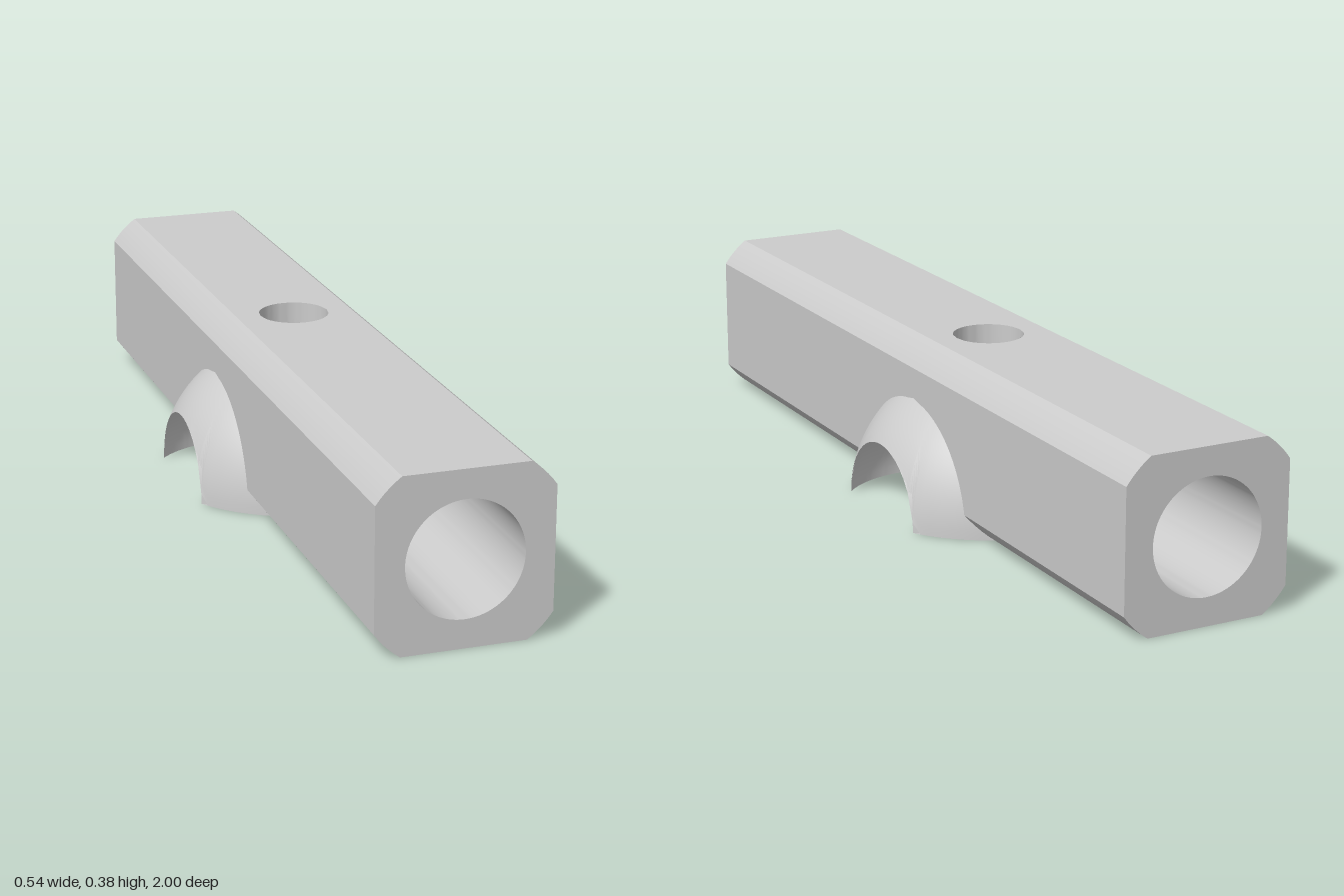
import * as THREE from 'three';
import { toCreasedNormals } from 'three/addons/utils/BufferGeometryUtils.js';

const H = 0.19;        // half width of the bar
const F = 0.135;       // half width of its flat faces
const BORE = 0.127;    // long bore radius
const PIN = 0.08;      // vertical hole radius
const R = 0.315;       // ball radius
const LIP = 0.272;     // where the ball ends sideways
const WAIST = 0.2;     // cavity radius at its middle ridge
const ZC = -0.08;      // z of the ball and vertical hole

const root = (v) => Math.sqrt(Math.max(0, v));
const ballRadius = (x) => root(R * R - x * x);
// two overlapping spherical hollows meeting in a ridge at x = 0
const cavityRadius = (x) =>
  root(WAIST ** 2 + (R * R - WAIST ** 2) * Math.abs(x) / LIP - x * x);
const pinHalf = (x) => root(PIN * PIN - x * x);

// half length removed from a lengthwise line at (x, y)
const cut = (x, y) => Math.max(root(R * R - x * x - y * y), y > 0.25 ? pinHalf(x) : 0);

// grid surface from a rule f(u, v) -> [x, y, z]
function sheet(nu, nv, f, flip = false) {
  const pos = [], idx = [];
  for (let i = 0; i <= nu; i++)
    for (let j = 0; j <= nv; j++) pos.push(...f(i / nu, j / nv));
  for (let i = 0; i < nu; i++)
    for (let j = 0; j < nv; j++) {
      const a = i * (nv + 1) + j, b = a + nv + 1;
      if (flip) idx.push(a, a + 1, b, b, a + 1, b + 1);
      else idx.push(a, b, a + 1, b, b + 1, a + 1);
    }
  const g = new THREE.BufferGeometry();
  g.setAttribute('position', new THREE.Float32BufferAttribute(pos, 3));
  g.setIndex(idx);
  return toCreasedNormals(g, 0.5);
}

// closed bar section: four flats joined by shallow rounded corners
function barSection() {
  const pts = [], a0 = Math.atan2(F, H), rad = Math.hypot(F, H);
  for (let k = 0; k < 4; k++) {
    const turn = k * Math.PI / 2, c = Math.round(Math.cos(turn)), s = Math.round(Math.sin(turn));
    const add = (x, y) => pts.push([x * c - y * s, H + x * s + y * c]);
    for (let i = 0; i < 54; i++) add(H, -F + 2 * F * i / 54);
    for (let i = 0; i < 5; i++) {
      const a = a0 + (Math.PI / 2 - 2 * a0) * i / 5;
      add(rad * Math.cos(a), rad * Math.sin(a));
    }
  }
  pts.push(pts[0]);
  return pts;
}

export function createModel() {
  const model = new THREE.Group();
  const mat = new THREE.MeshStandardMaterial({ color: 0xcccccc, side: THREE.DoubleSide });
  const add = (name, geo) => {
    const m = new THREE.Mesh(geo, mat);
    m.name = name;
    model.add(m);
    return m;
  };

  const section = barSection();
  const circle = [];
  for (let i = 0; i <= 96; i++) {
    const a = i / 96 * Math.PI * 2;
    circle.push([BORE * Math.cos(a), H + BORE * Math.sin(a)]);
  }
  // lengthwise walls running from the ball to one end
  const run = (pts, s, flip) => sheet(pts.length - 1, 1, (u, v) => {
    const [x, y] = pts[Math.round(u * (pts.length - 1))];
    return [x, y, v ? s : ZC + s * cut(x, y)];
  }, flip);

  const endShape = new THREE.Shape(section.slice(0, -1).map((p) => new THREE.Vector2(...p)));
  endShape.holes.push(new THREE.Path(circle.slice(0, -1).reverse().map((p) => new THREE.Vector2(...p))));

  for (const s of [1, -1]) {
    const side = s > 0 ? 'front' : 'back';
    add(side + 'BarWalls', run(section, s, s < 0));
    add(side + 'Bore', run(circle, s, s > 0));

    const end = add(side + 'EndFace', new THREE.ShapeGeometry(endShape));
    end.position.z = s;
    if (s < 0) end.rotation.y = Math.PI;

    // hollow underside with its middle ridge
    add(side + 'Cavity', sheet(68, 20, (u, v) => {
      const x = LIP * (2 * u - 1), r = cavityRadius(x);
      const a = v * Math.acos(pinHalf(x) / r);
      return [x, r * Math.sin(a), ZC + s * r * Math.cos(a)];
    }, s > 0));

    // flat rim between cavity and ball
    add(side + 'CavityRim', sheet(68, 1, (u, v) => {
      const x = LIP * (2 * u - 1);
      return [x, 0, ZC + s * (v ? ballRadius(x) : cavityRadius(x))];
    }, s < 0));
  }

  // half ball, opened at the top by the pin hole and at both sides
  add('ballHousing', sheet(96, 20, (u, v) => {
    const t = u * Math.PI * 2, p0 = Math.asin(PIN / R);
    const p1 = Math.asin(Math.min(1, LIP / (R * Math.abs(Math.cos(t)) + 1e-9)));
    const p = p0 + (p1 - p0) * v;
    return [R * Math.sin(p) * Math.cos(t), R * Math.cos(p), ZC + R * Math.sin(p) * Math.sin(t)];
  }));

  // pin hole walls, below and above the gap left by the bore
  const top = root(R * R - PIN * PIN);
  const pinWall = (low, high) => sheet(64, 1, (u, v) => {
    const t = u * Math.PI * 2, x = PIN * Math.cos(t), z = PIN * Math.sin(t);
    return [x, v ? high : low(x, z), ZC + z];
  });
  add('lowerPinHole', pinWall((x, z) => root(cavityRadius(x) ** 2 - z * z), top));
  add('upperPinHole', pinWall((x) => Math.max(top, H + root(BORE * BORE - x * x)), 2 * H));

  return model;
}
